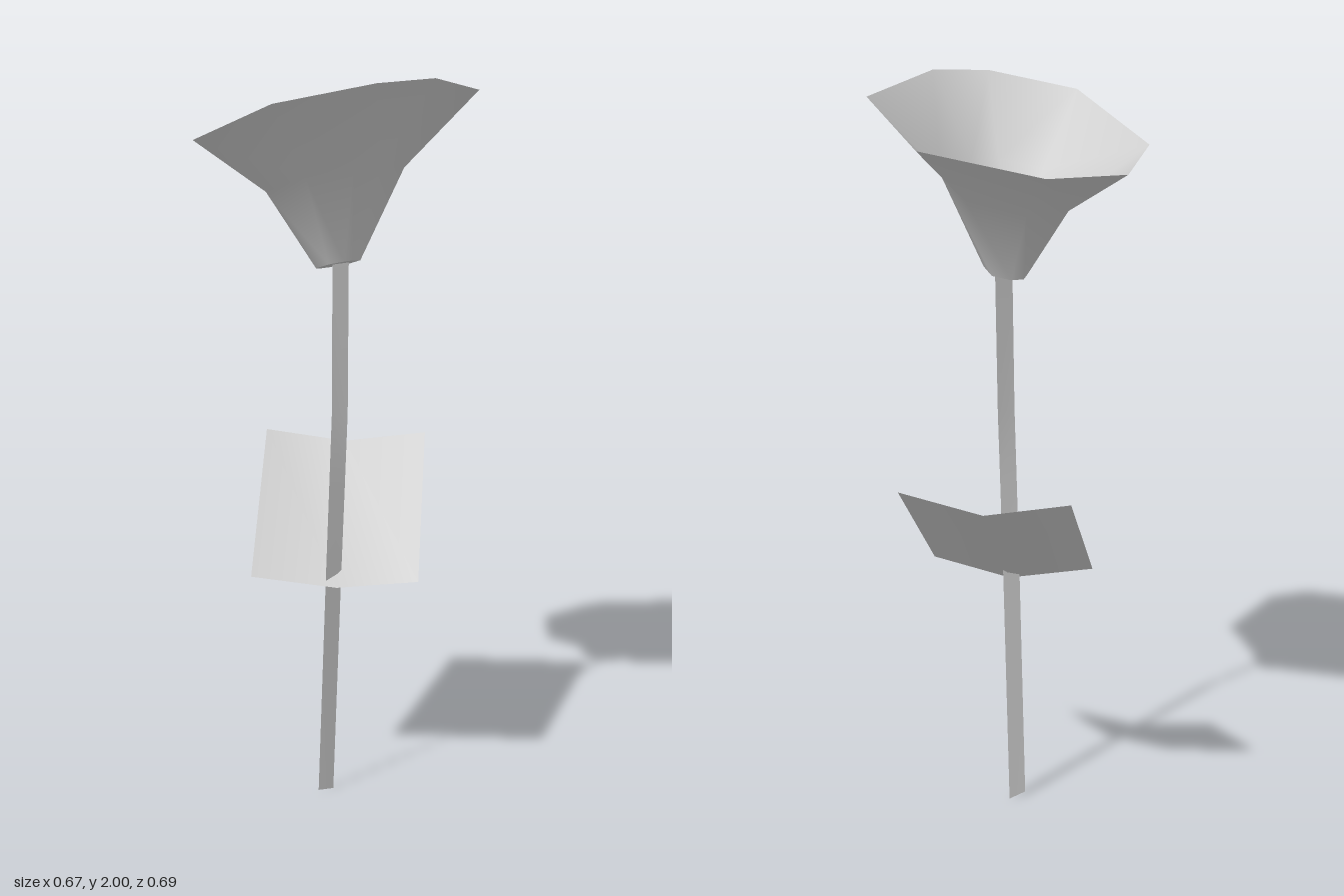
import * as THREE from 'three';

const grey = new THREE.MeshStandardMaterial({ color: 0xcccccc, side: THREE.DoubleSide });
grey.name = 'light grey';

// Smooth surface skinned across rows of points
function skin(name, rows, closed = false) {
  const n = rows[0].length, index = [];
  for (let r = 0; r < rows.length - 1; r++) {
    for (let i = 0; i < (closed ? n : n - 1); i++) {
      const j = (i + 1) % n;
      const a = r * n + i, b = r * n + j, c = a + n, d = b + n;
      index.push(a, b, c, b, d, c);
    }
  }
  const geo = new THREE.BufferGeometry();
  geo.setAttribute('position', new THREE.Float32BufferAttribute(rows.flat(2), 3));
  geo.setIndex(index);
  geo.computeVertexNormals();
  const mesh = new THREE.Mesh(geo, grey);
  mesh.name = name;
  return mesh;
}

export function createModel() {
  const group = new THREE.Group();
  group.name = 'flower';

  // Stem: a thin flat ribbon, given by the left edge of each row
  const stem = [
    [-0.063, 0.01, -0.012], [-0.063, 0.66, 0.027], [-0.061, 0.92, 0.041],
    [-0.058, 1.13, 0.05], [-0.037, 1.52, 0.023], [-0.028, 1.68, 0.012],
  ];
  group.add(skin('stem', stem.map(([x, y, z], i) =>
    [[x, y, z], [x + 0.05, i === 0 ? 0 : y, z]])));

  // Leaf: a sheet folded along its midrib
  group.add(skin('leaf', [
    [[-0.238, 0.683, -0.07], [-0.045, 0.648, 0.053], [0.11, 0.683, 0.21]].reverse(),
    [[-0.015, 0.988, -0.343], [0.17, 0.952, -0.223], [0.332, 0.99, -0.063]].reverse(),
  ].reverse()));

  // Blossom: an eight-sided tilted funnel, its rings scaled from the rim
  const rim = [
    [-0.186, -0.296], [0.034, -0.29], [0.288, -0.112], [0.286, 0.194],
    [0.036, 0.342], [-0.12, 0.327], [-0.314, 0.188], [-0.334, -0.15],
  ];
  const ring = (scale, cx, cz, y) => rim.map(([x, z]) => {
    const pz = cz + (z - 0.023) * scale;
    return [cx + (x + 0.023) * scale, y + 0.335 * pz, pz];
  });
  const rings = [
    ring(1, -0.023, 0.023, 1.885),
    ring(0.49, -0.021, 0.013, 1.728),
    ring(0.16, -0.012, 0.012, 1.513),
  ];
  group.add(skin('blossom', rings, true));

  // Closed bottom of the blossom
  group.add(skin('blossomBase', [rings[2], ring(0, -0.012, 0.012, 1.513)], true));

  return group;
}
